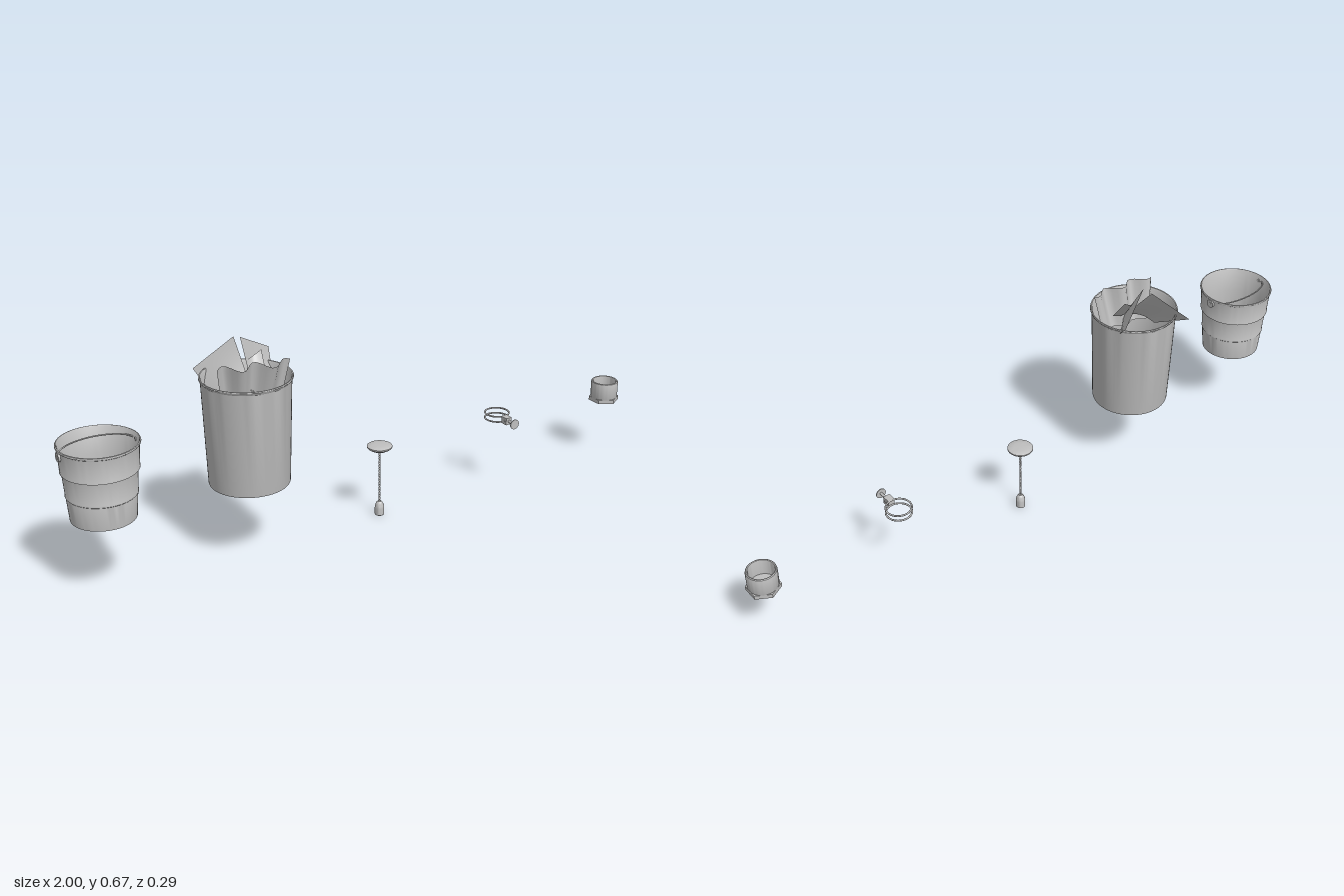
import * as THREE from 'three';
import { toCreasedNormals } from 'three/addons/utils/BufferGeometryUtils.js';

const grey = new THREE.MeshStandardMaterial({ color: 0xbfbfbf, side: THREE.DoubleSide });
grey.name = 'plain grey';

function add(parent, name, geometry, x = 0, y = 0, z = 0) {
  const mesh = new THREE.Mesh(geometry, grey);
  mesh.name = name;
  mesh.position.set(x, y, z);
  parent.add(mesh);
  return mesh;
}

function group(parent, name, x, y, z) {
  const g = new THREE.Group();
  g.name = name;
  g.position.set(x, y, z);
  parent.add(g);
  return g;
}

// Turned part from [radius, height] pairs, listed from the bottom up the outside
function turned(points, sides = 64) {
  const profile = points.map(([r, y]) => new THREE.Vector2(r, y));
  return toCreasedNormals(new THREE.LatheGeometry(profile, sides), 0.6);
}

// Sheet stretched between four corners (top left, top right, bottom left, bottom right), bent by a rule
function sheet(corners, bend) {
  const [a, b, c, d] = corners.map((p) => new THREE.Vector3(...p));
  const geo = new THREE.PlaneGeometry(1, 1, 20, 8);
  const pos = geo.attributes.position;
  const normal = b.clone().sub(a).cross(c.clone().sub(a)).normalize();
  for (let i = 0; i < pos.count; i++) {
    const u = pos.getX(i) + 0.5, v = 0.5 - pos.getY(i);
    const p = a.clone().lerp(b, u).lerp(c.clone().lerp(d, u), v);
    p.addScaledVector(normal, bend(u, v));
    pos.setXYZ(i, p.x, p.y, p.z);
  }
  geo.computeVertexNormals();
  return geo;
}

function makeBucket(root) {
  const g = group(root, 'bucket', -0.88, 0.24, 0);
  add(g, 'bucketBody', turned([
    [0, 0.004], [0.09, 0.004], [0.091, 0], [0.094, 0.001], [0.1, 0.074], [0.102, 0.076],
    [0.102, 0.079], [0.101, 0.081], [0.106, 0.148], [0.111, 0.15], [0.111, 0.154], [0.11, 0.156],
    [0.114, 0.222], [0.117, 0.224], [0.118, 0.227], [0.117, 0.23], [0.114, 0.231], [0.112, 0.228],
    [0.104, 0.15], [0.091, 0.007], [0, 0.007],
  ]));
  // Ears on both sides with a bail lying back across the mouth
  for (const side of [-1, 1]) {
    const ear = add(g, 'handleEar', new THREE.CylinderGeometry(0.014, 0.014, 0.006, 20), side * 0.116, 0.211, 0);
    ear.rotation.z = Math.PI / 2;
    const pin = add(g, 'handlePin', new THREE.CylinderGeometry(0.006, 0.006, 0.012, 14), side * 0.114, 0.211, 0);
    pin.rotation.z = Math.PI / 2;
  }
  const bail = [];
  for (let i = 0; i <= 16; i++) {
    const t = (Math.PI * i) / 16;
    bail.push(new THREE.Vector3(-0.114 * Math.cos(t), 0.211 + 0.01 * Math.sin(t), -0.058 * Math.sin(t)));
  }
  add(g, 'handle', new THREE.TubeGeometry(new THREE.CatmullRomCurve3(bail), 48, 0.0022, 8));
}

function makeBasket(root) {
  const g = group(root, 'wasteBasket', -0.4225, 0, 0.006);
  add(g, 'basketBody', turned([
    [0, 0.241], [0.117, 0.241], [0.119, 0.2375], [0.1205, 0.238], [0.1215, 0.242], [0.1325, 0.56],
    [0.136, 0.564], [0.1375, 0.568], [0.1365, 0.5715], [0.133, 0.571], [0.13, 0.566], [0.119, 0.246], [0, 0.246],
  ]));
  // Loose papers
  const papers = group(g, 'papers', 0.4225, 0, -0.006);
  add(papers, 'rightSheet', sheet(
    [[-0.412, 0.67, -0.044], [-0.29, 0.6, -0.102], [-0.42, 0.52, 0.05], [-0.325, 0.49, 0]],
    (u, v) => 0.012 * Math.sin(Math.PI * u) * v));
  add(papers, 'leftSheet', sheet(
    [[-0.52, 0.563, -0.143], [-0.418, 0.664, -0.074], [-0.5, 0.49, -0.01], [-0.42, 0.53, 0.04]],
    (u, v) => -0.012 * Math.sin(Math.PI * u) * v));
  add(papers, 'middleSheet', sheet(
    [[-0.41, 0.61, -0.01], [-0.355, 0.627, -0.024], [-0.44, 0.54, 0.045], [-0.37, 0.54, 0.045]],
    (u) => 0.01 * Math.sin(Math.PI * u)));
  add(papers, 'crumpledSheet', sheet(
    [[-0.538, 0.623, 0.056], [-0.315, 0.617, 0.085], [-0.515, 0.49, 0.03], [-0.335, 0.49, 0.055]],
    (u, v) => 0.022 * Math.sin(u * 15) * (1 - 0.5 * v)));
}

function makePullChain(root) {
  const g = group(root, 'pullChain', 0.035, 0, 0.004);
  add(g, 'chainCap', turned([
    [0, 0.219], [0.012, 0.22], [0.026, 0.225], [0.036, 0.231], [0.04, 0.235], [0.04, 0.239],
    [0.037, 0.241], [0.02, 0.243], [0, 0.2435],
  ], 40));
  add(g, 'chainCord', new THREE.CylinderGeometry(0.0016, 0.0016, 0.18, 8), 0, 0.133, 0);
  for (let i = 0; i < 30; i++) {
    add(g, 'chainBead', new THREE.SphereGeometry(0.0035, 10, 8), 0, 0.048 + i * 0.0059, 0);
  }
  add(g, 'chainWeight', turned([
    [0, 0], [0.0135, 0], [0.015, 0.0015], [0.015, 0.024], [0.0142, 0.031], [0.012, 0.038],
    [0.009, 0.044], [0.006, 0.047], [0, 0.048],
  ], 32));
}

function makeClamp(root) {
  const g = group(root, 'hoseClamp', 0.495, 0.238, 0);
  for (const y of [-0.009, 0.009]) {
    const ring = add(g, 'clampRing', new THREE.TorusGeometry(0.039, 0.0028, 10, 56), 0, y, 0);
    ring.rotation.x = Math.PI / 2;
  }
  // Block, screw and round thumb plate at the front
  add(g, 'clampBlock', new THREE.BoxGeometry(0.022, 0.023, 0.026), 0, 0, 0.052);
  for (const side of [-1, 1]) {
    const pin = add(g, 'blockPin', new THREE.CylinderGeometry(0.003, 0.003, 0.003, 14), side * 0.0115, 0, 0.055);
    pin.rotation.z = Math.PI / 2;
  }
  const screw = add(g, 'clampScrew', new THREE.CylinderGeometry(0.0045, 0.0045, 0.034, 14), 0, 0, 0.079);
  const plate = add(g, 'thumbPlate', new THREE.CylinderGeometry(0.0165, 0.0165, 0.003, 28), 0, 0, 0.0945);
  screw.rotation.x = plate.rotation.x = Math.PI / 2;
}

function makePipeCap(root) {
  const g = group(root, 'pipeCap', 0.953, 0.195, 0.005);
  add(g, 'hexBase', toCreasedNormals(new THREE.CylinderGeometry(0.051, 0.051, 0.013, 6), 0.5), 0, 0.0065, 0);
  add(g, 'capBody', turned([
    [0.043, 0.01], [0.0455, 0.016], [0.0455, 0.064], [0.0445, 0.069], [0.042, 0.071],
    [0.039, 0.07], [0.038, 0.066], [0.038, 0.018], [0, 0.018],
  ], 48));
}

export function createModel() {
  const root = new THREE.Group();
  root.name = 'householdItems';
  makeBucket(root);
  makeBasket(root);
  makePullChain(root);
  makeClamp(root);
  makePipeCap(root);
  return root;
}
